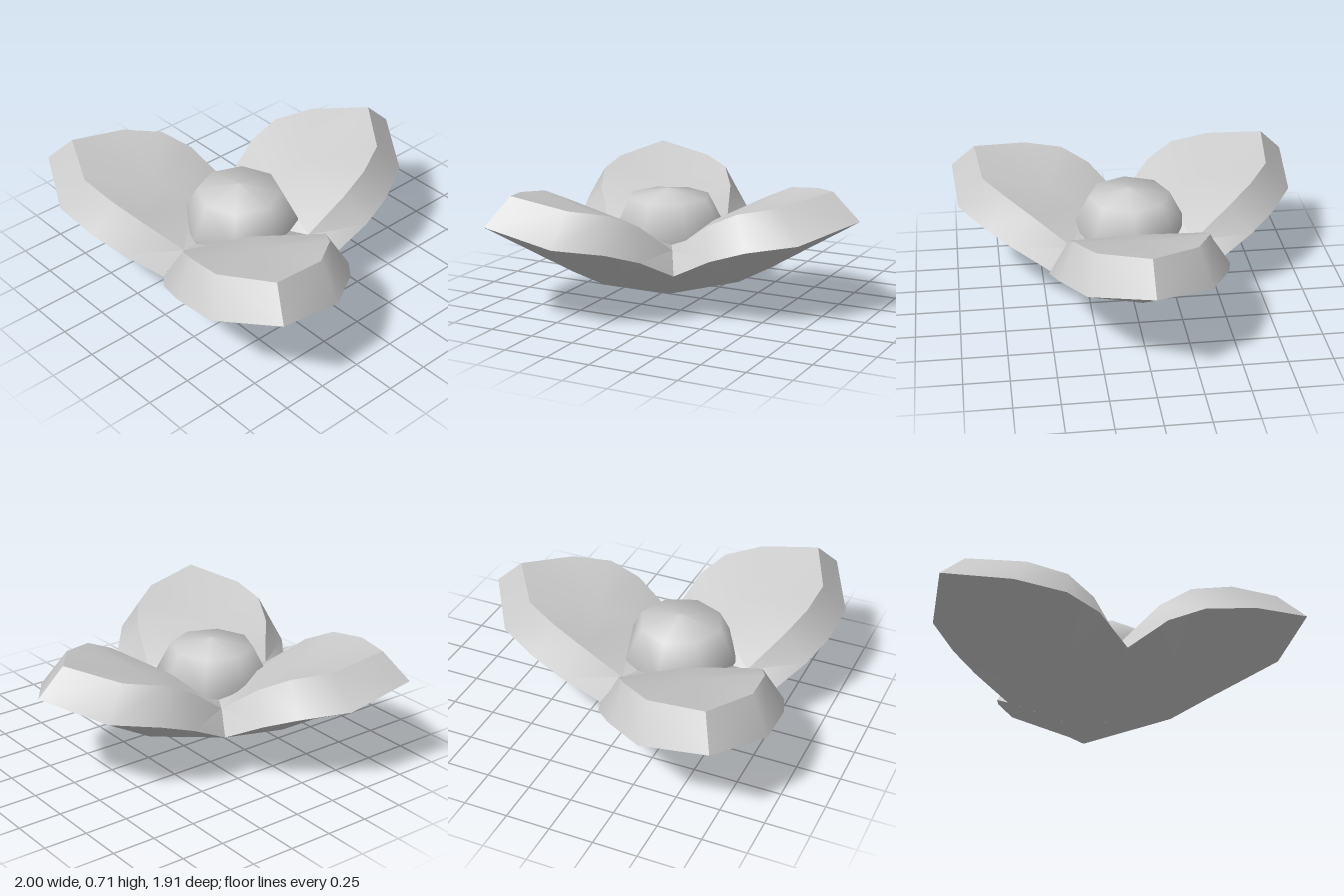
import * as THREE from 'three';
import { toCreasedNormals } from 'three/addons/utils/BufferGeometryUtils.js';

// Half a petal: [distance from flower axis, sideways, height]
const points = {
  // outer lower rim, tip to valley
  B0: [1.155, 0, 0.56], B1: [0.935, 0.33, 0.475], B2: [0.69, 0.46, 0.44],
  B3: [0.5, 0.5, 0.38], B4: [0.275, 0.476, 0.265],
  // inner upper rim, tip to valley
  I0: [0.995, 0, 0.71], I1: [0.8, 0.27, 0.655], I2: [0.6, 0.367, 0.62],
  I3: [0.43, 0.385, 0.54], I4: [0.2, 0.346, 0.37],
  // keel of the underside
  K1: [0.63, 0, 0.235], K2: [0.44, 0, 0.13], A: [0, 0, 0],
  // middle line of the floor
  F1: [0.5, 0, 0.55], F2: [0.28, 0, 0.47], C: [0, 0, 0.38],
};

const faces = [
  // underside
  'B0 B1 K1', 'K1 B1 B2', 'K1 B2 K2', 'K2 B2 B3', 'K2 B3 B4', 'K2 B4 A',
  // bevelled wall
  'B0 I0 I1', 'B0 I1 B1', 'B1 I1 I2', 'B1 I2 B2',
  'B2 I2 I3', 'B2 I3 B3', 'B3 I3 I4', 'B3 I4 B4',
  // floor
  'I0 F1 I1', 'I1 F1 I2', 'I2 F1 I3', 'I3 F1 F2', 'I3 F2 I4', 'I4 F2 C',
].map((f) => f.split(' '));

function petalsGeometry() {
  const pos = [];
  for (let i = 0; i < 3; i++) {
    const turn = (i * Math.PI * 2) / 3;
    const c = Math.cos(turn), s = Math.sin(turn);
    for (const side of [1, -1]) {
      for (const face of faces) {
        const corners = side > 0 ? face : [...face].reverse();
        for (const key of corners) {
          const [u, w, y] = points[key];
          const x = w * side, z = -u;
          pos.push(x * c + z * s, y, -x * s + z * c);
        }
      }
    }
  }
  const g = new THREE.BufferGeometry();
  g.setAttribute('position', new THREE.Float32BufferAttribute(pos, 3));
  return toCreasedNormals(g, 0.65);
}

export function createModel() {
  const material = new THREE.MeshStandardMaterial({ color: 0xcccccc });
  const flower = new THREE.Group();
  flower.name = 'flower';

  // three petals joined into one cup
  const petals = new THREE.Mesh(petalsGeometry(), material);
  petals.name = 'petals';

  // flattened eight-sided ball in the middle
  const profile = [[0, 0.17], [0.235, 0.215], [0.33, 0.4], [0.235, 0.585], [0, 0.63]]
    .map(([r, y]) => new THREE.Vector2(r, y));
  const heart = new THREE.Mesh(new THREE.LatheGeometry(profile, 8), material);
  heart.name = 'flowerCentre';

  flower.add(petals, heart);
  flower.position.z = 0.2;
  const model = new THREE.Group();
  model.add(flower);
  return model;
}
